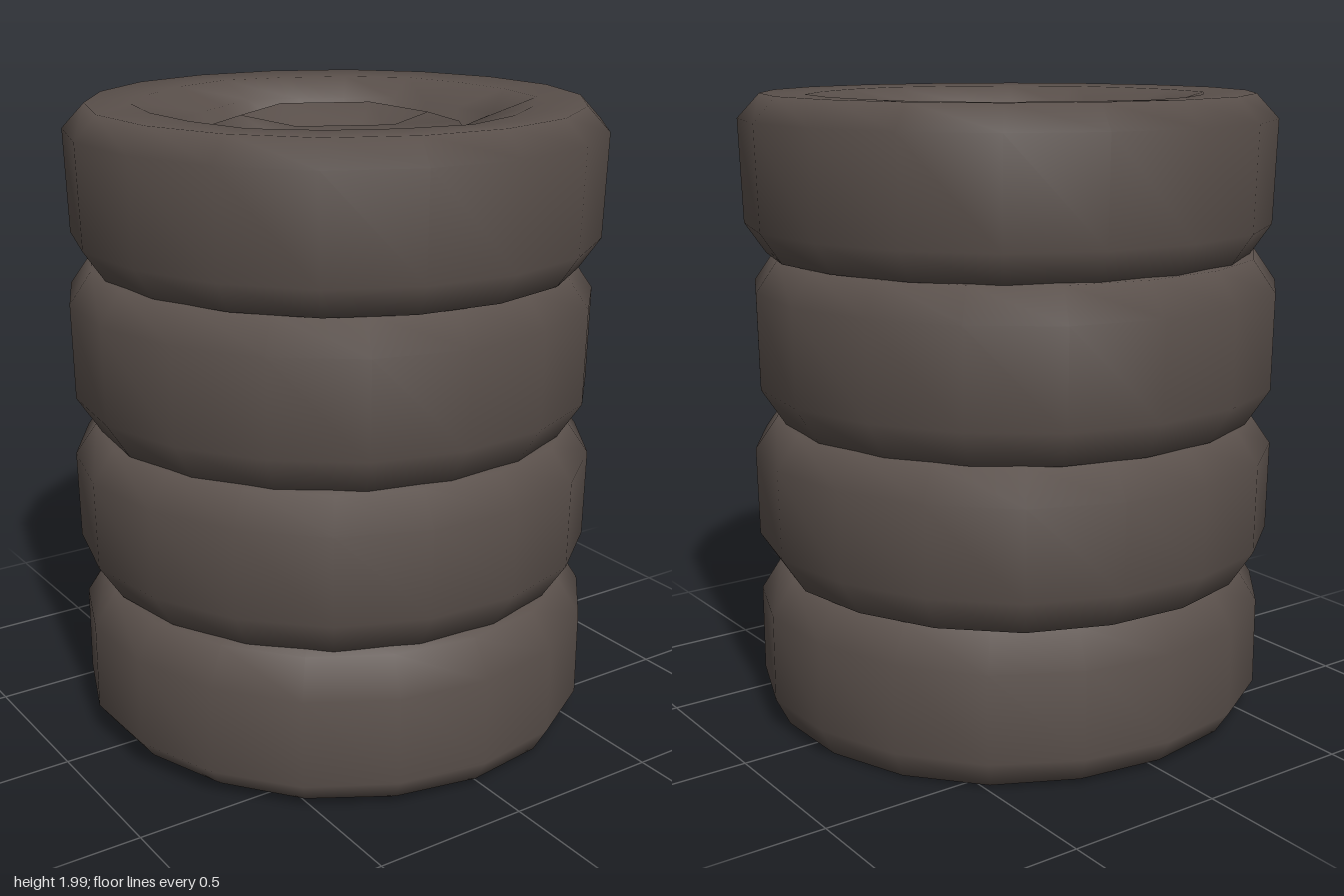
import * as THREE from 'three';
import { mergeVertices } from 'three/addons/utils/BufferGeometryUtils.js';

const SIDES = 18;

// Revolve [radius, y, hexBlend] rows; hexBlend pulls a row from round to hexagonal.
function revolve(rows, sides, wobble = 0) {
  const lathe = new THREE.LatheGeometry(rows.map(([r, y]) => new THREE.Vector2(r, y)), sides);
  const p = lathe.attributes.position;
  for (let i = 0; i < p.count; i++) {
    const hex = rows[i % rows.length][2] || 0;
    const a = Math.round(i / rows.length - 0.5 + 1e-6) % sides;
    const angle = (Math.floor(i / rows.length) % sides) / sides * Math.PI * 2;
    const local = (angle % (Math.PI / 3)) - Math.PI / 6;
    const hexScale = Math.cos(Math.PI / 6) / Math.cos(local);
    const k = (1 + (hexScale - 1) * hex) * (1 + wobble * Math.sin(angle * 3 + a));
    p.setX(i, p.getX(i) * k);
    p.setZ(i, p.getZ(i) * k);
  }
  lathe.deleteAttribute('uv');
  lathe.deleteAttribute('normal');
  const geometry = mergeVertices(lathe, 1e-4);
  geometry.computeVertexNormals();
  return geometry;
}

export function createModel() {
  const model = new THREE.Group();
  model.name = 'tyreStack';
  const rubber = new THREE.MeshStandardMaterial({ color: 0x5a504b });
  rubber.name = 'worn rubber';

  function add(name, geometry, x = 0, z = 0, turn = 0) {
    const mesh = new THREE.Mesh(geometry, rubber);
    mesh.name = name;
    mesh.position.set(x, 0, z);
    mesh.rotation.y = turn;
    model.add(mesh);
  }

  // Bottom tyre, closed underneath and resting slightly askew
  const bottom = revolve([
    [0, 0.015], [0.5, 0.015], [0.78, 0.025], [0.825, 0.1],
    [0.825, 0.38], [0.755, 0.49], [0.6, 0.52],
  ], SIDES, 0.004);
  const p = bottom.attributes.position;
  for (let i = 0; i < p.count; i++) {
    if (p.getY(i) < 0.05) p.setY(i, Math.max(0, p.getY(i) - 0.02 * p.getX(i)));
  }
  bottom.computeVertexNormals();
  add('bottomTyre', bottom, -0.015, 0.03);

  // Two middle tyres: [name, base y, height, x, z, turn]
  const middle = [
    ['lowerMiddleTyre', 0.49, 0.5, -0.005, 0, 0.12],
    ['upperMiddleTyre', 0.985, 0.52, -0.005, -0.01, 0.25],
  ];
  for (const [name, y, h, x, z, turn] of middle) {
    add(name, revolve([
      [0.6, y - 0.01], [0.755, y + 0.005], [0.83, y + 0.12],
      [0.835, y + h - 0.1], [0.765, y + h], [0.6, y + h + 0.02],
    ], SIDES, 0.006), x, z, turn);
  }

  // Top tyre, its sidewall dipping into a hexagonal opening
  add('topTyre', revolve([
    [0.6, 1.49], [0.765, 1.505], [0.83, 1.6], [0.84, 1.92], [0.77, 1.995],
    [0.63, 1.99, 0.3], [0.49, 1.94, 1], [0.46, 1.82, 1], [0.3, 1.78, 1],
  ], SIDES, 0.004), 0.005, 0.01, 0.06);

  // Hexagonal hub with a raised rim and a dished centre
  add('hub', revolve([
    [0.47, 1.8], [0.39, 1.92], [0.29, 1.95], [0.19, 1.87], [0, 1.86],
  ], 6), 0, 0.01, 0.06);

  return model;
}
